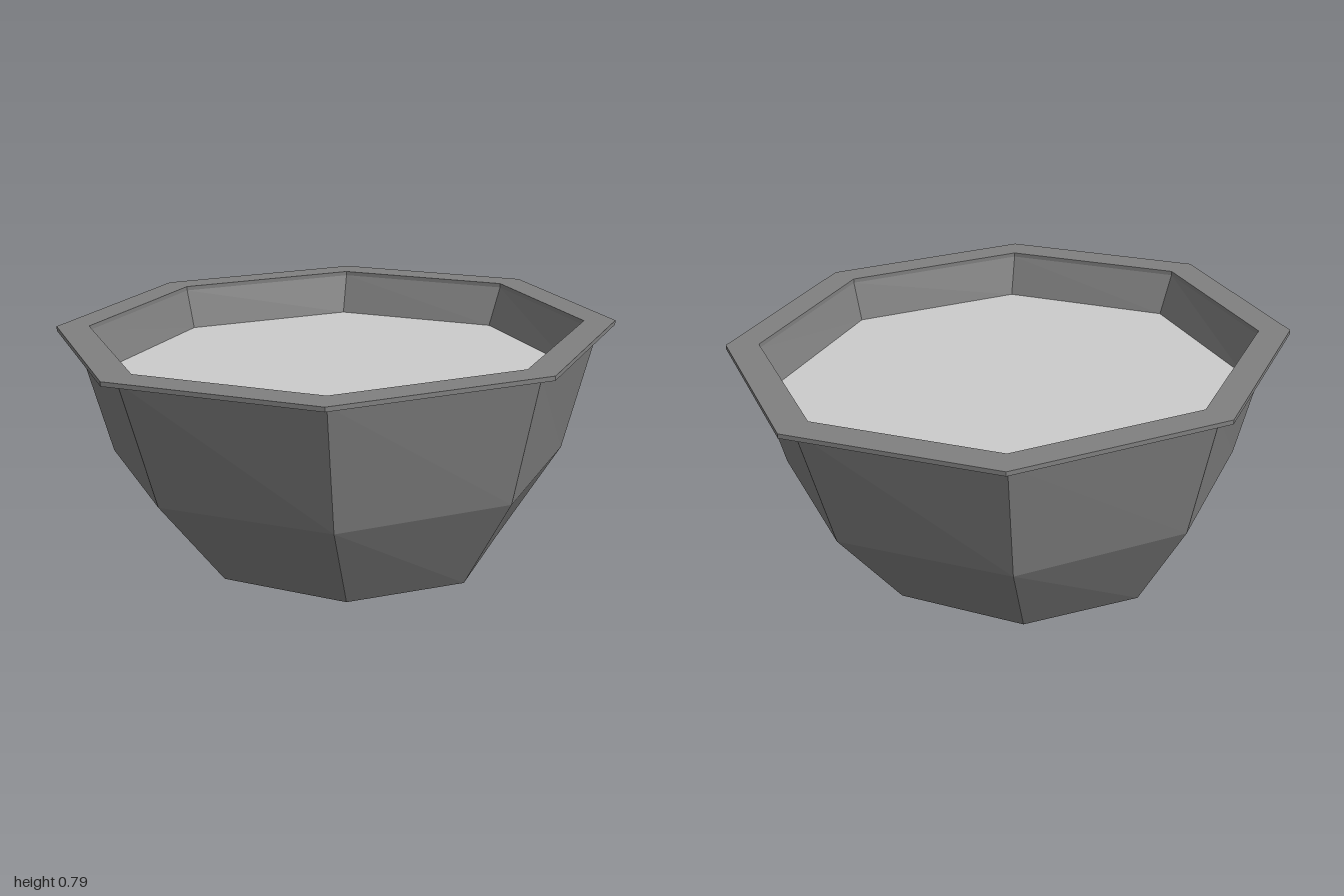
import * as THREE from 'three';

const SIDES = 8;

// Flat-faced octagonal skin through rings of [x radius, z radius, height]
function loft(name, rings, color) {
  const corner = ([rx, rz, y], i) => {
    const a = (i % SIDES) / SIDES * Math.PI * 2;
    return [rx * Math.cos(a), y, rz * Math.sin(a)];
  };
  const pos = [];
  for (let r = 0; r < rings.length - 1; r++) {
    const low = rings[r], high = rings[r + 1];
    for (let i = 0; i < SIDES; i++) {
      const a = corner(low, i), b = corner(low, i + 1);
      const c = corner(high, i), d = corner(high, i + 1);
      if (high[0] > 0) pos.push(...a, ...c, ...d);
      else pos.push(...a, ...c, ...b);
      if (low[0] > 0 && high[0] > 0) pos.push(...a, ...d, ...b);
    }
  }
  const geo = new THREE.BufferGeometry();
  geo.setAttribute('position', new THREE.Float32BufferAttribute(pos, 3));
  geo.computeVertexNormals();
  const mesh = new THREE.Mesh(geo, new THREE.MeshStandardMaterial({ color, flatShading: true }));
  mesh.name = name;
  return mesh;
}

export function createModel() {
  const group = new THREE.Group();
  group.name = 'bowl';
  const shell = 0x808080, level = 0.63, rimLow = 0.77, rimTop = 0.785;

  // Base and two tiers of outer wall
  group.add(loft('outerWall', [
    [0, 0, 0], [0.54, 0.59, 0], [0.805, 0.775, 0.33], [0.94, 0.87, rimLow],
  ], shell));

  // Overhanging flat rim, a closed ring
  group.add(loft('rim', [
    [1, 0.92, rimLow], [1, 0.92, rimTop], [0.885, 0.815, rimTop],
    [0.885, 0.815, rimLow], [1, 0.92, rimLow],
  ], shell));

  // Inner wall down to the filling
  group.add(loft('innerWall', [[0.885, 0.815, rimLow], [0.825, 0.78, level]], shell));

  // Flat surface of the contents
  group.add(loft('filling', [[0.825, 0.78, level], [0, 0, level]], 0xcccccc));

  return group;
}
